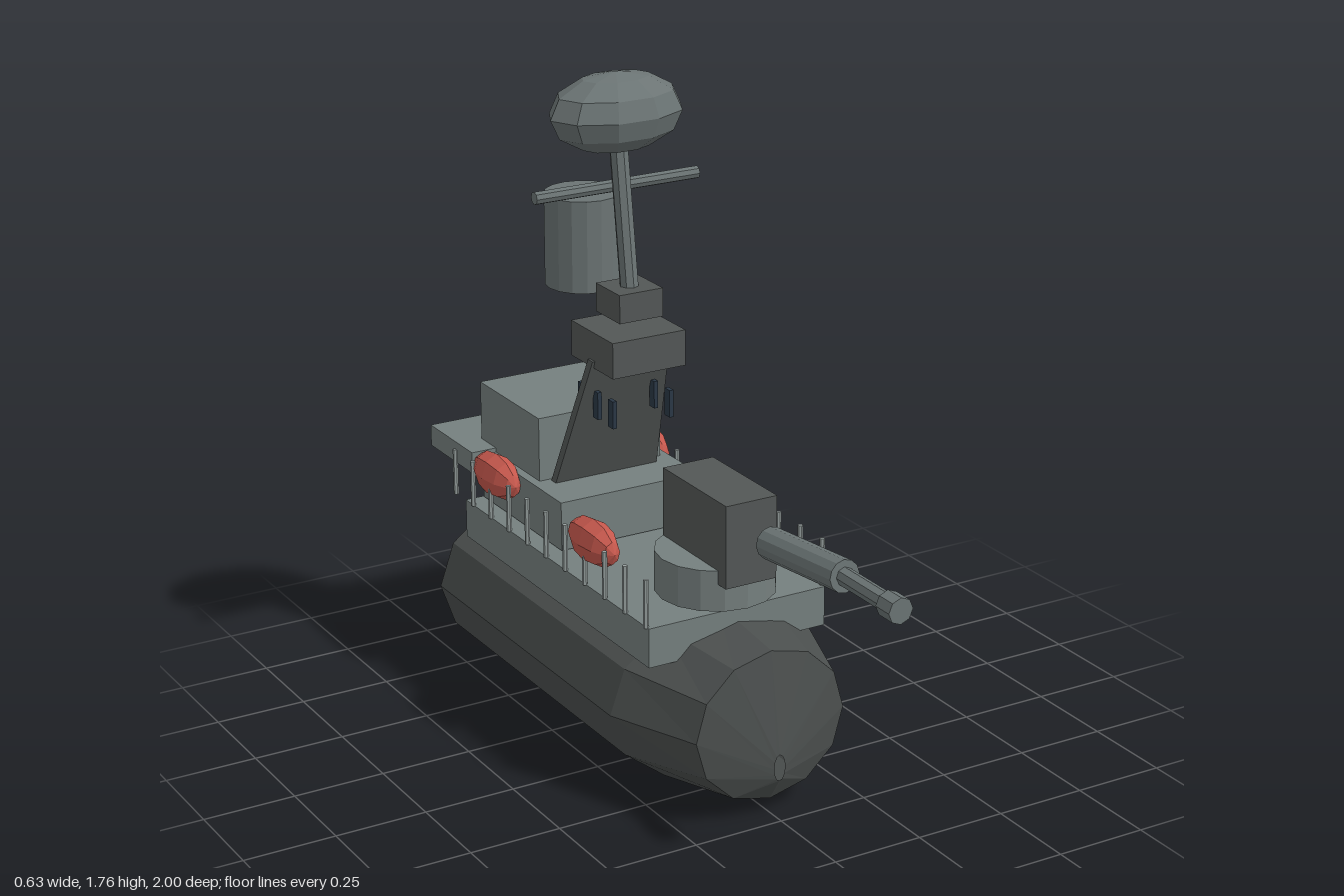
import * as THREE from 'three';

const mat = (name, color, side = THREE.FrontSide) =>
  new THREE.MeshStandardMaterial({ name, color, side, flatShading: true });

export function createModel() {
  const hullGrey = mat('hullGrey', 0x4b4f4e, THREE.DoubleSide);
  const deckGrey = mat('deckGrey', 0x757f7e);
  const darkGrey = mat('darkGrey', 0x535756);
  const metalGrey = mat('metalGrey', 0x6b7474);
  const railGrey = mat('railGrey', 0x98a1a0);
  const boatRed = mat('boatRed', 0xc6584d);
  const windowBlue = mat('windowBlue', 0x2a3846);

  const model = new THREE.Group();
  model.name = 'patrolShip';

  const add = (name, geometry, material) => {
    const mesh = new THREE.Mesh(geometry, material);
    mesh.name = name;
    model.add(mesh);
    return mesh;
  };
  // Box given by its lower and upper corners
  const box = (name, material, x0, x1, y0, y1, z0, z1) => {
    const m = add(name, new THREE.BoxGeometry(x1 - x0, y1 - y0, z1 - z0), material);
    m.position.set((x0 + x1) / 2, (y0 + y1) / 2, (z0 + z1) / 2);
    return m;
  };
  // Cylinder running between two points
  const rod = (name, material, a, b, r, sides = 8) => {
    const p = new THREE.Vector3(...a), q = new THREE.Vector3(...b);
    const m = add(name, new THREE.CylinderGeometry(r, r, p.distanceTo(q), sides), material);
    m.position.copy(p).add(q).multiplyScalar(0.5);
    m.quaternion.setFromUnitVectors(new THREE.Vector3(0, 1, 0), q.sub(p).normalize());
    return m;
  };

  // Hull: open-ended loft of elliptical rings [z, centre y, x radius, y radius]
  const rings = [
    [-0.905, 0.18, 0.2, 0.11],
    [-0.77, 0.24, 0.315, 0.24],
    [0.185, 0.24, 0.315, 0.24],
    [0.445, 0.245, 0.217, 0.205],
    [0.49, 0.145, 0.016, 0.036],
  ];
  const sides = 12, verts = [], faces = [];
  rings.forEach(([z, cy, rx, ry], i) => {
    for (let j = 0; j < sides; j++) {
      const t = (j / sides) * Math.PI * 2;
      verts.push(Math.cos(t) * rx, cy + Math.sin(t) * ry, z);
      if (i === rings.length - 1) continue;
      const a = i * sides + j, b = i * sides + ((j + 1) % sides);
      faces.push(a, b, b + sides, a, b + sides, a + sides);
    }
  });
  const hull = new THREE.BufferGeometry();
  hull.setAttribute('position', new THREE.Float32BufferAttribute(verts, 3));
  hull.setIndex(faces);
  hull.computeVertexNormals();
  add('hull', hull, hullGrey);

  // Deck, superstructure and stern platforms
  box('deck', deckGrey, -0.26, 0.26, 0.4, 0.507, -0.71, 0.287);
  box('superstructure', deckGrey, -0.21, 0.21, 0.51, 0.645, -0.7, -0.255);
  box('sternPlatform', deckGrey, -0.258, 0.258, 0.597, 0.657, -0.92, -0.67);
  box('sternHouse', deckGrey, -0.185, 0.185, 0.645, 0.822, -0.755, -0.42);
  box('sternPlate', deckGrey, -0.13, 0.13, 0.52, 0.54, -1, -0.7);
  rod('sternPost', darkGrey, [0, 0.54, -0.882], [0, 0.722, -0.882], 0.014);

  // Gun turret
  rod('turretBase', deckGrey, [0, 0.522, 0.175], [0, 0.632, 0.175], 0.157, 16);
  box('turret', darkGrey, -0.074, 0.074, 0.595, 0.817, 0.04, 0.347);
  rod('gunSleeve', metalGrey, [0, 0.737, 0.435], [0, 0.77, 0.765], 0.042, 12);
  rod('gunBarrel', metalGrey, [0, 0.77, 0.75], [0, 0.77, 0.955], 0.024);
  rod('gunMuzzle', metalGrey, [0, 0.77, 0.945], [0, 0.77, 1], 0.034);

  // Leaning tower plate: tapered box sheared towards the front
  const plate = new THREE.BoxGeometry(2, 1, 0.025);
  const p = plate.attributes.position;
  for (let i = 0; i < p.count; i++) {
    const t = p.getY(i) + 0.5;
    p.setXYZ(i, p.getX(i) * (0.155 - 0.04 * t), 0.64 + 0.38 * t, p.getZ(i) - 0.4 + 0.138 * t);
  }
  plate.computeVertexNormals();
  add('towerPlate', plate, darkGrey);
  box('bridgeBlock', darkGrey, -0.108, 0.108, 1, 1.097, -0.375, -0.155);
  box('mastFoot', darkGrey, -0.064, 0.064, 1.13, 1.207, -0.32, -0.195);

  // Mast, yard, radar and rear drum
  rod('mast', metalGrey, [0, 1.2, -0.257], [0, 1.58, -0.31], 0.025);
  rod('yard', metalGrey, [-0.24, 1.46, -0.32], [0.24, 1.46, -0.32], 0.017);
  const radar = add('radar', new THREE.SphereGeometry(1, 10, 6), metalGrey);
  radar.scale.set(0.19, 0.105, 0.125);
  radar.position.set(0, 1.655, -0.32);
  rod('funnel', metalGrey, [0, 1.147, -0.503], [0, 1.397, -0.503], 0.102, 16);

  for (const s of [-1, 1]) {
    // Bridge windows
    for (const z of [-0.2, -0.28, -0.36])
      box('window', windowBlue, s * 0.085 - 0.006, s * 0.085 + 0.006, 0.85, 0.925, z - 0.013, z + 0.013);
    // Lifeboats
    for (const z of [-0.045, -0.58]) {
      const g = new THREE.SphereGeometry(1, 8, 6).rotateX(Math.PI / 2);
      const boat = add('lifeboat', g, boatRed);
      boat.scale.set(0.046, 0.062, 0.11);
      boat.position.set(s * 0.23, 0.617, z);
    }
    // Railing posts
    for (let i = 0; i < 11; i++) {
      const z = 0.272 - 0.104 * i;
      rod('railPost', railGrey, [s * 0.26, 0.505, z], [s * 0.26, 0.635, z], 0.007, 6);
    }
  }
  return model;
}
